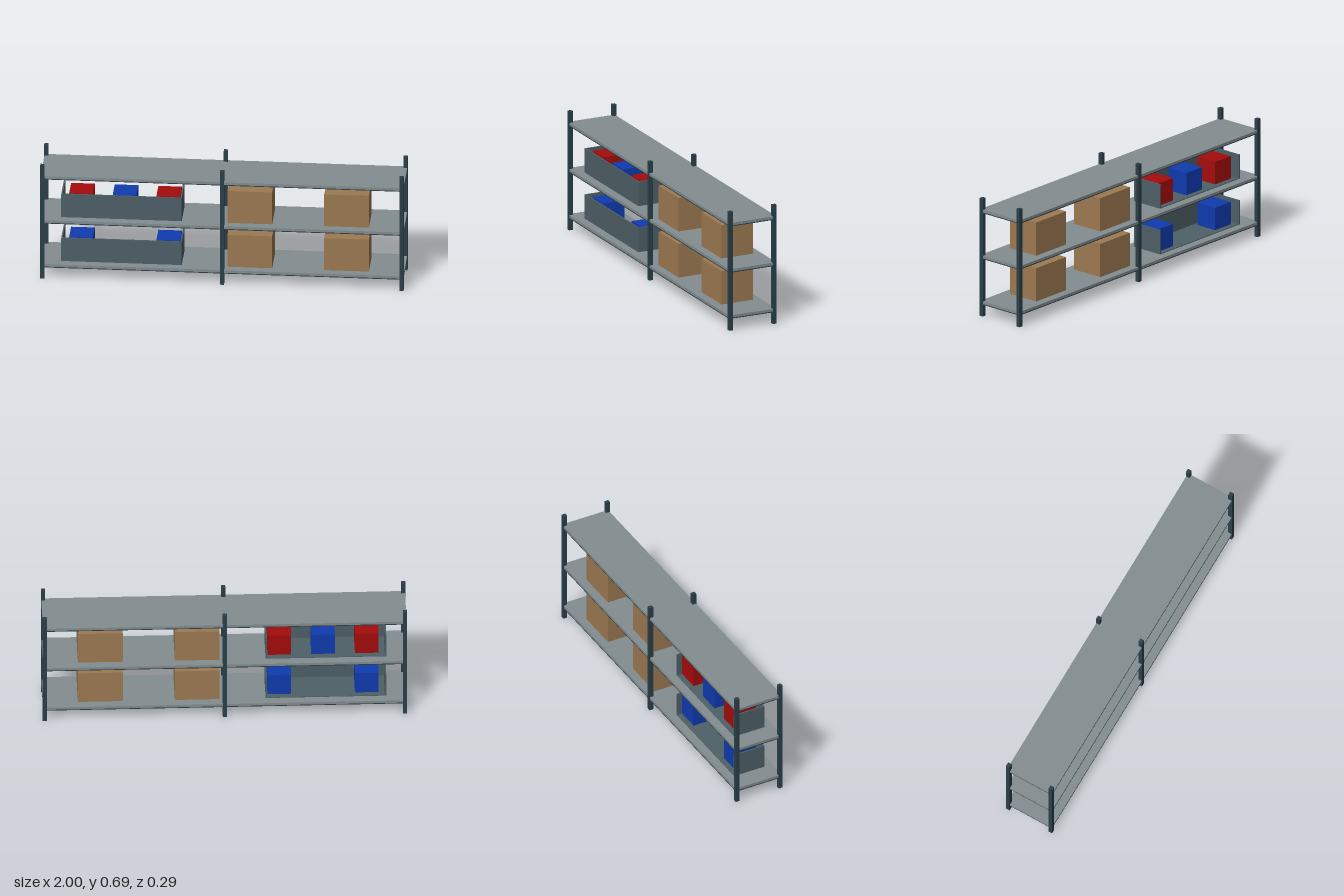
import * as THREE from 'three';

export function createModel() {
  const model = new THREE.Group();
  model.name = 'storageRack';

  const mat = (name, color) => {
    const m = new THREE.MeshStandardMaterial({ color });
    m.name = name;
    return m;
  };
  const postSteel = mat('darkSteel', 0x2b3f48);
  const shelfGrey = mat('shelfGrey', 0x838d8f);
  const binGrey = mat('binGrey', 0x4e6068);
  const cardboard = mat('cardboard', 0x9d7a52);
  const red = mat('red', 0xa60c0c);
  const blue = mat('blue', 0x103bb0);

  // Box resting on height y
  const block = (parent, name, material, w, h, d, x, y, z) => {
    const mesh = new THREE.Mesh(new THREE.BoxGeometry(w, h, d), material);
    mesh.name = name;
    mesh.position.set(x, y + h / 2, z);
    parent.add(mesh);
  };

  // Upright posts
  for (const x of [-0.9885, 0, 0.9885]) {
    for (const z of [-0.134, 0.134]) {
      block(model, 'post', postSteel, 0.023, 0.685, 0.023, x, 0, z);
    }
  }

  // Shelves: grey deck over a thin dark underside
  const decks = [0.087, 0.353, 0.62];
  for (const top of decks) {
    block(model, 'shelfDeck', shelfGrey, 1.996, 0.015, 0.287, 0, top - 0.015, 0);
    block(model, 'shelfUnderside', postSteel, 1.996, 0.005, 0.287, 0, top - 0.02, 0);
  }

  // Open-backed bin with a row of cubes
  const addBin = (y, cubes) => {
    const bin = new THREE.Group();
    bin.name = 'bin';
    bin.position.set(-0.5565, y, 0);
    const w = 0.663, h = 0.14, d = 0.19, t = 0.008;
    block(bin, 'binFloor', binGrey, w - 2 * t, 0.004, d - t, 0, 0, -t / 2);
    block(bin, 'binFront', binGrey, w, h, t, 0, 0, d / 2 - t / 2);
    for (const s of [-1, 1]) {
      block(bin, 'binEnd', binGrey, t, h, d - t, s * (w / 2 - t / 2), 0, -t / 2);
    }
    for (const [x, material] of cubes) {
      block(bin, 'cube', material, 0.13, 0.13, 0.13, x, 0.004, 0);
    }
    model.add(bin);
  };
  addBin(decks[0], [[-0.225, blue], [0.255, blue]]);
  addBin(decks[1], [[-0.225, red], [0.015, blue], [0.255, red]]);

  // Cardboard boxes
  for (const y of decks.slice(0, 2)) {
    for (const x of [0.15, 0.682]) {
      block(model, 'cardboardBox', cardboard, 0.246, 0.193, 0.191, x, y, 0);
    }
  }
  return model;
}
